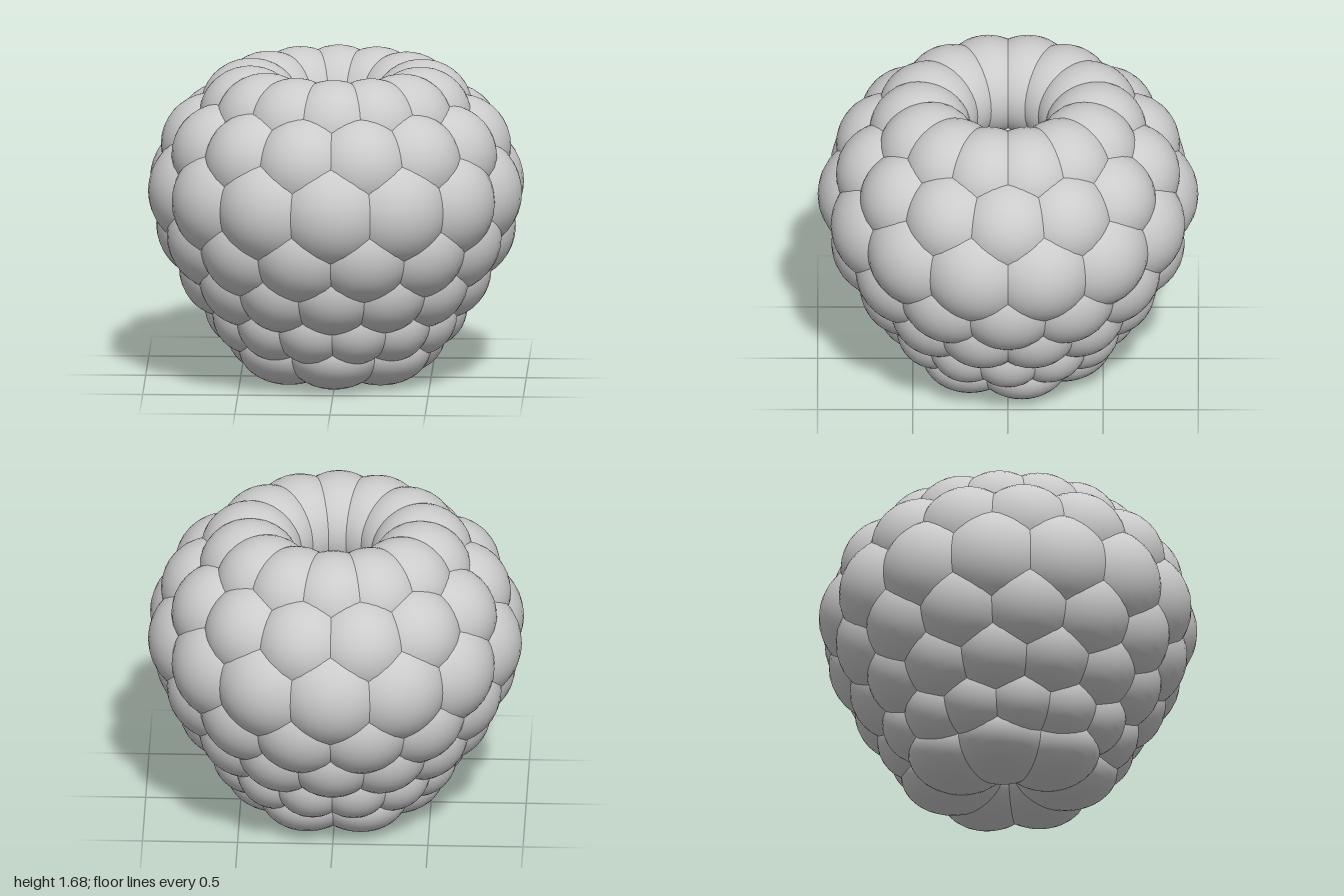
import * as THREE from 'three';

const material = new THREE.MeshStandardMaterial({ color: 0xcccccc });
const bead = new THREE.SphereGeometry(1, 32, 18);

// One ring of rounded drupelets; phase 0 puts one at the front, 0.5 puts a seam there
function drupeletRing(name, { count = 14, phase, rho, y, size }) {
  const ring = new THREE.Group();
  ring.name = name;
  for (let i = 0; i < count; i++) {
    const angle = ((i + phase) / count) * Math.PI * 2;
    const drupelet = new THREE.Mesh(bead, material);
    drupelet.name = 'drupelet';
    drupelet.position.set(Math.sin(angle) * rho, y, Math.cos(angle) * rho);
    drupelet.rotation.y = angle;
    drupelet.scale.set(...size); // tangential, vertical, radial
    ring.add(drupelet);
  }
  return ring;
}

export function createModel() {
  const berry = new THREE.Group();
  berry.name = 'berry';

  // Rings from the open top down to the underside
  const rings = [
    ['rimRing', { phase: 0, rho: 0.46, y: 1.43, size: [0.26, 0.255, 0.267] }],
    ['shoulderRing', { phase: 0.5, rho: 0.65, y: 1.25, size: [0.27, 0.27, 0.27] }],
    ['equatorRing', { phase: 0, rho: 0.69, y: 1.03, size: [0.31, 0.31, 0.31] }],
    ['upperBellyRing', { phase: 0.5, rho: 0.655, y: 0.82, size: [0.29, 0.29, 0.29] }],
    ['lowerBellyRing', { phase: 0, rho: 0.575, y: 0.61, size: [0.26, 0.26, 0.26] }],
    ['lowerRing', { phase: 0.5, rho: 0.48, y: 0.38, size: [0.21, 0.21, 0.21] }],
    ['baseRing', { count: 7, phase: 0, rho: 0.3, y: 0.205, size: [0.26, 0.2, 0.28] }],
  ];
  for (const [name, options] of rings) berry.add(drupeletRing(name, options));

  // Faceted hollow inside the opening, tapering to a pinhole
  const hollow = new THREE.Mesh(
    new THREE.CylinderGeometry(0.3, 0.02, 0.9, 7, 1, true),
    new THREE.MeshStandardMaterial({ color: 0xcccccc, flatShading: true, side: THREE.DoubleSide }),
  );
  hollow.name = 'hollow';
  hollow.position.y = 0.85;
  berry.add(hollow);

  return berry;
}
